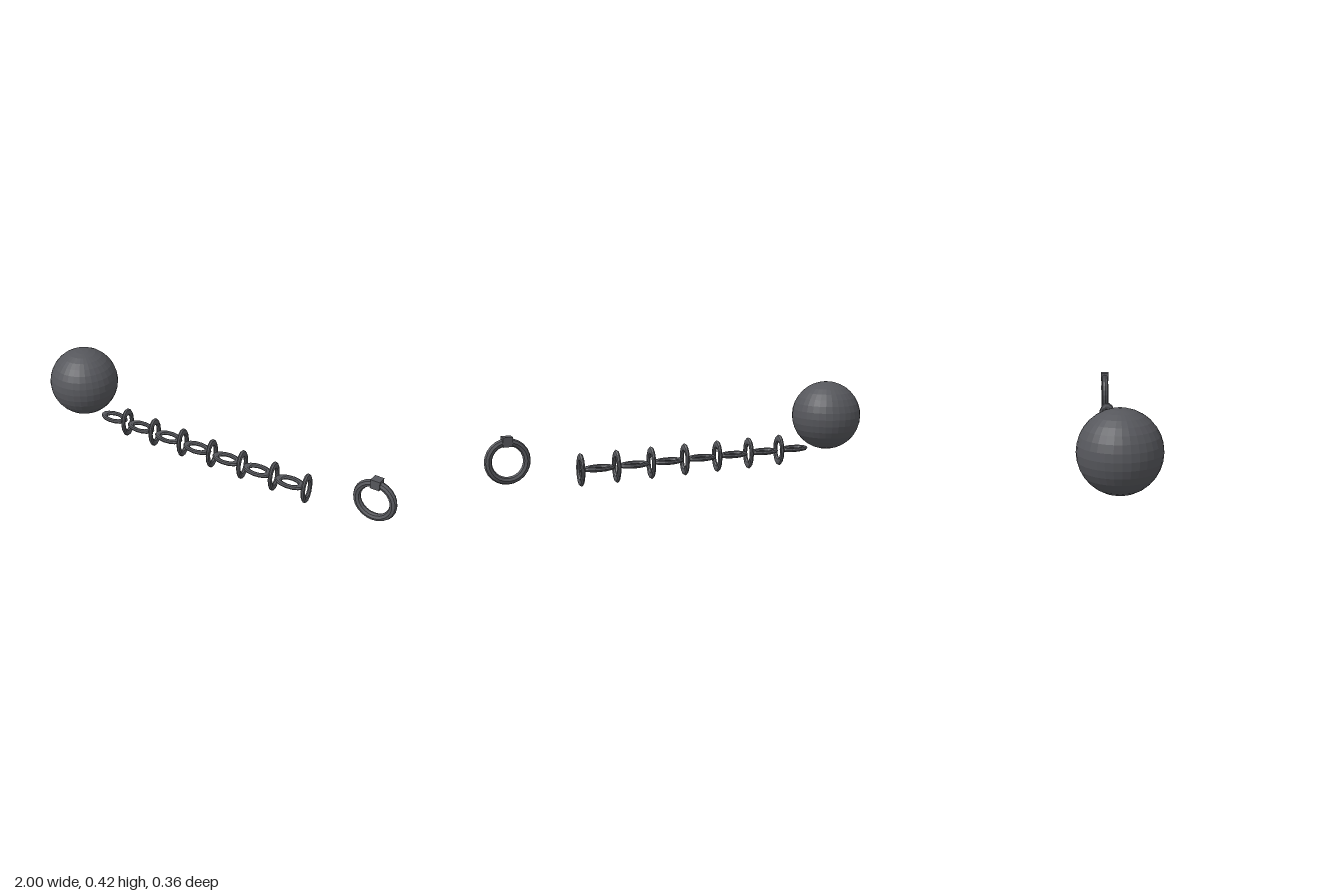
import * as THREE from 'three';

export function createModel() {
  const model = new THREE.Group();
  model.name = 'ballAndChain';
  const iron = new THREE.MeshStandardMaterial({ color: 0x56575c });
  iron.name = 'dark iron';

  // Faceted mesh: every face keeps its own normal
  function add(name, geometry, x, y) {
    const g = geometry.toNonIndexed();
    g.computeVertexNormals();
    const mesh = new THREE.Mesh(g, iron);
    mesh.name = name;
    mesh.position.set(x, y, 0);
    model.add(mesh);
    return mesh;
  }

  // Heavy ball
  add('ball', new THREE.SphereGeometry(0.179, 32, 16), -0.821, 0.246);

  // Oval link, long along x and lying flat in the xz plane
  const flatLink = new THREE.TorusGeometry(0.062, 0.0195, 8, 14)
    .rotateZ(Math.PI / 14)
    .rotateX(Math.PI / 2)
    .scale(1, 0.57, 0.57);
  // The same link stood on end in the yz plane
  const uprightLink = new THREE.TorusGeometry(0.062, 0.0195, 8, 14)
    .scale(0.57, 1, 0.57)
    .rotateY(Math.PI / 2);

  // Chain of alternating links
  for (let i = 0; i < 7; i++) {
    const x = -0.625 + i * 0.18;
    add('flatLink', flatLink, x, 0.082);
    add('uprightLink', uprightLink, x + 0.09, 0.082);
  }

  // Shackle ring with its lock block
  add('shackleRing', new THREE.TorusGeometry(0.0895, 0.018, 8, 24), 0.891, 0.1555);
  add('shackleLock', new THREE.BoxGeometry(0.045, 0.045, 0.045), 0.891, 0.248);

  return model;
}
